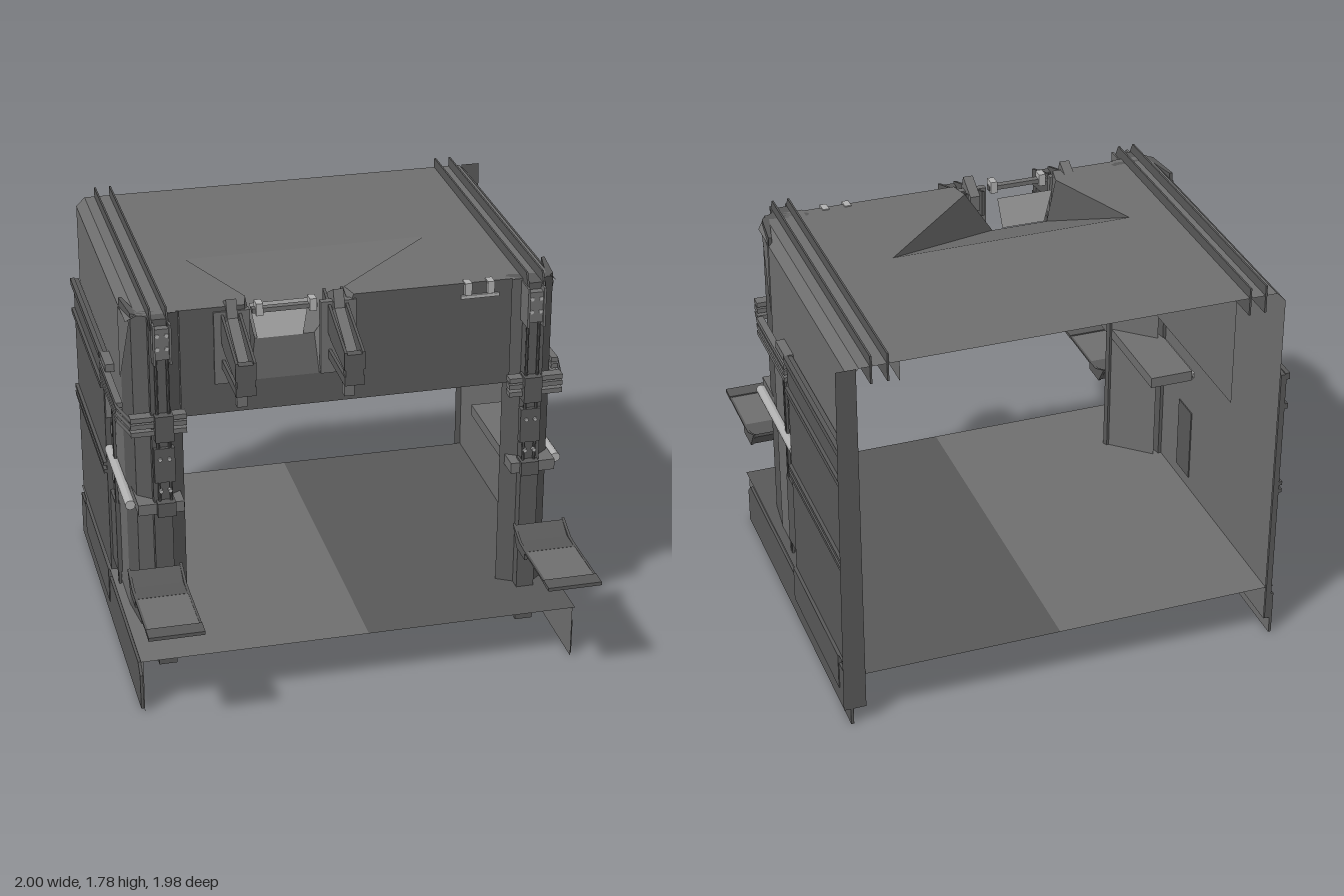
import * as THREE from 'three';

const paint = color => new THREE.MeshStandardMaterial({ color, flatShading: true, side: THREE.DoubleSide });
const mid = paint(0x6e6e6e), dark = paint(0x585858), light = paint(0xb0b0b0);

function add(parent, name, geo, mat = mid) {
  const m = new THREE.Mesh(geo, mat);
  m.name = name;
  parent.add(m);
  return m;
}

// box given by its limits on each axis
function box(parent, name, x0, x1, y0, y1, z0, z1, mat) {
  const m = add(parent, name, new THREE.BoxGeometry(Math.abs(x1 - x0), y1 - y0, Math.abs(z1 - z0)), mat);
  m.position.set((x0 + x1) / 2, (y0 + y1) / 2, (z0 + z1) / 2);
  return m;
}

// thin sheet, a fan over its corner points
function sheet(parent, name, mat, ...pts) {
  const g = new THREE.BufferGeometry().setFromPoints(pts.map(p => new THREE.Vector3(...p)));
  const idx = [];
  for (let i = 1; i < pts.length - 1; i++) idx.push(0, i, i + 1);
  g.setIndex(idx);
  const flat = g.toNonIndexed();
  flat.computeVertexNormals();
  return add(parent, name, flat, mat);
}

const shape = pts => new THREE.Shape(pts.map(p => new THREE.Vector2(...p)));

// outline in (z, y) extruded along x, centred on x
function sideProfile(parent, name, pts, x, width, mat) {
  const g = new THREE.ExtrudeGeometry(shape(pts.map(([z, y]) => [-z, y])), { depth: width, bevelEnabled: false });
  g.translate(0, 0, -width / 2).rotateY(Math.PI / 2);
  const m = add(parent, name, g, mat);
  m.position.x = x;
  return m;
}

function buildSide(s) {
  const g = new THREE.Group();
  g.name = s > 0 ? 'leftSide' : 'rightSide';
  g.position.x = -0.012;
  const b = (name, x0, x1, ...r) => box(g, name, s * x0, s * x1, ...r);

  // skirt beneath the floor with a chamfered plate outside
  sheet(g, 'skirt', mid, [s * 0.968, 0, 0.69], [s * 0.968, 0.25, 0.69], [s * 0.968, 0.25, -0.99], [s * 0.968, 0, -0.99]);
  sideProfile(g, 'skirtPlate', [[0.665, 0], [0.665, 0.165], [0.62, 0.21], [-0.99, 0.21], [-0.99, 0]], s * 0.975, 0.012, dark);
  b('panelSkirt', 0.97, 0.985, 0.08, 0.25, -0.83, -0.14, dark);

  // upper wall with chamfer to the roof, and main wall below
  sheet(g, 'roofEdge', mid, [s * 0.73, 1.74, 0.4], [s * 0.9, 1.74, 0.4], [s * 0.9, 1.74, -0.99], [s * 0.73, 1.74, -0.99]);
  sheet(g, 'roofChamfer', mid, [s * 0.9, 1.74, 0.4], [s * 0.94, 1.7, 0.36], [s * 0.94, 1.7, -0.99], [s * 0.9, 1.74, -0.99]);
  sheet(g, 'wall', mid, [s * 0.94, 1.7, 0.2], [s * 0.94, 0.08, 0.2], [s * 0.94, 0.08, -0.99], [s * 0.94, 1.7, -0.99]);
  b('outerPanel', 0.945, 0.97, 0.08, 1.34, -0.99, -0.14, dark);
  for (const [y, h] of [[0.745, 0.018], [0.782, 0.018], [1.17, 0.025], [1.315, 0.03]])
    b('wallRib', 0.965, 0.985, y, y + h, -0.99, -0.14, dark);
  b('sidePocket', 0.935, 0.96, 0.31, 0.66, -0.14, 0, dark);
  for (const z of [-0.01, -0.03]) b('wallRod', 0.945, 0.957, 0.25, 1.17, z, z + 0.01, dark);
  b('panelCap', 0.94, 0.98, 1.31, 1.345, -0.14, 0);
  sheet(g, 'wallGusset', mid, [s * 0.942, 1.09, 0], [s * 0.965, 1.15, -0.14], [s * 0.965, 1.02, -0.14]);
  b('wallPlate', 0.945, 0.96, 1.17, 1.21, 0.05, 0.15, light);

  // rails standing on the roof edge
  for (const x of [0.78, 0.85])
    sideProfile(g, 'roofRail', [[0.47, 1.7], [0.47, 1.73], [0.44, 1.785], [-0.99, 1.785], [-0.99, 1.66], [0.4, 1.66]], s * x, 0.008, dark);

  // front pillar
  const pillar = new THREE.ExtrudeGeometry(shape([[0.71, 0.36], [0.78, 0.4], [0.78, 0.455], [0.86, 0.455], [0.86, 0.42],
    [0.92, 0.37], [0.94, 0.19], [0.925, 0.19], [0.89, 0.36], [0.72, 0.34]].map(([x, z]) => [s * x, z])),
  { depth: 1.66, bevelEnabled: false });
  pillar.rotateX(Math.PI / 2).translate(0, 1.74, 0);
  add(g, 'pillar', pillar, dark);
  sheet(g, 'pillarInnerSheet', mid, [s * 0.71, 0.08, 0.36], [s * 0.71, 1.25, 0.36], [s * 0.9, 1.25, 0.19], [s * 0.9, 0.08, 0.19]);
  sheet(g, 'pillarBrace', mid, [s * 0.925, 1.7, 0.37], [s * 0.945, 1.36, 0.19], [s * 0.945, 1.7, 0.19]);

  // pillar fittings
  b('pillarCap', 0.775, 0.845, 1.57, 1.71, 0.4, 0.49);
  for (const x of [0.775, 0.845]) b('pillarEar', x - 0.005, x + 0.005, 1.55, 1.73, 0.4, 0.5);
  b('latchPlate', 0.765, 0.855, 0.99, 1.15, 0.44, 0.472, dark);
  for (const x of [0.785, 0.835]) {
    const rod = add(g, 'latchRod', new THREE.CylinderGeometry(0.007, 0.007, 0.85, 8), dark);
    rod.position.set(s * x, 1.27, 0.463);
  }
  for (const y of [0.95, 1.1, 1.62, 1.68]) for (const x of [0.79, 0.83]) {
    const bolt = add(g, 'bolt', new THREE.CylinderGeometry(0.009, 0.009, 0.02, 8), light);
    bolt.rotation.x = Math.PI / 2;
    bolt.position.set(s * x, y, y > 1.5 ? 0.485 : 0.47);
  }

  // hinge straps running round the pillar and back along the wall
  for (const y of [1.215, 1.25, 1.28]) {
    b('hingeFront', 0.71, 0.95, y, y + 0.022, 0.42, 0.47);
    sheet(g, 'hingeBend', mid, [s * 0.95, y, 0.45], [s * 0.95, y + 0.022, 0.45], [s * 0.985, y + 0.022, 0.3], [s * 0.985, y, 0.3]);
    b('hingeStrap', 0.955, 0.985, y, y + 0.022, -0.14, 0.3);
  }
  b('hingeBlock', 0.77, 0.85, 1.19, 1.31, 0.42, 0.495, dark);
  b('lowerClampBlock', 0.77, 0.85, 0.835, 0.9, 0.42, 0.495, dark);

  // broad lower arm running back inside the wall, with a bright outer tube
  b('lowerArm', 0.73, 0.93, 0.84, 0.89, -0.14, 0.47);
  const tube = add(g, 'lowerTube', new THREE.CylinderGeometry(0.022, 0.022, 0.55, 12), light);
  tube.rotation.x = Math.PI / 2;
  tube.position.set(s * 0.955, 0.865, 0.135);

  // step platform held out in front
  const step = new THREE.Group();
  step.name = 'step';
  g.add(step);
  const c = s * 0.868;
  box(step, 'stepPlate', c - 0.11, c + 0.11, 0.534, 0.539, 0.64, 0.93);
  box(step, 'stepFrontBar', c - 0.12, c + 0.12, 0.529, 0.545, 0.91, 0.985, dark);
  for (const k of [-1, 1]) box(step, 'stepRail', c + k * 0.12, c + k * 0.11, 0.532, 0.541, 0.6, 0.95, dark);
  sideProfile(step, 'stepBlock', [[0.65, 0.505], [0.65, 0.54], [0.55, 0.54], [0.48, 0.585], [0.48, 0.57], [0.53, 0.505]], c, 0.22, dark);
  for (const k of [-1, 1])
    sideProfile(step, 'stepCheek', [[0.65, 0.5], [0.65, 0.54], [0.57, 0.545], [0.47, 0.59], [0.53, 0.5]], c + k * 0.114, 0.012, dark);
  return g;
}

function buildArm(x) {
  const g = new THREE.Group();
  g.name = 'frontArm';
  for (const k of [-1, 1]) {
    sideProfile(g, 'armCheek', [[0.3, 1.74], [0.45, 1.69], [0.69, 1.61], [0.69, 1.53], [0.45, 1.56], [0.3, 1.62]], x + k * 0.038, 0.012, dark);
    sideProfile(g, 'armLowerCheek', [[0.69, 1.5], [0.69, 1.46], [0.4, 1.46], [0.39, 1.5]], x + k * 0.036, 0.014, dark);
  }
  box(g, 'armTip', x - 0.038, x + 0.038, 1.46, 1.6, 0.65, 0.69, dark);
  box(g, 'armPad', x - 0.022, x + 0.022, 1.37, 1.46, 0.56, 0.6);
  sideProfile(g, 'armCore', [[0.3, 1.72], [0.4, 1.775], [0.43, 1.7], [0.65, 1.59], [0.65, 1.55], [0.39, 1.6], [0.3, 1.65]], x, 0.045);
  box(g, 'armBase', x - 0.075, x + 0.08, 1.39, 1.72, 0.37, 0.4);
  return g;
}

export function createModel() {
  const model = new THREE.Group();
  model.name = 'openCabin';

  // floor in two halves
  sheet(model, 'floorRight', mid, [-0.99, 0.25, 0.69], [0.02, 0.25, 0.69], [0.02, 0.25, -0.99], [-0.99, 0.25, -0.99]);
  sheet(model, 'floorLeft', dark, [0.02, 0.25, 0.69], [0.968, 0.25, 0.69], [0.968, 0.25, -0.99], [0.02, 0.25, -0.99]);

  // roof with a recess cut in its front edge
  const roof = new THREE.ShapeGeometry(shape([[-0.75, -0.99], [0.73, -0.99], [0.73, 0.39], [0.02, 0.39], [0, 0.3],
    [0.48, -0.16], [-0.6, -0.15], [-0.43, 0.3], [-0.45, 0.39], [-0.75, 0.39]]));
  add(model, 'roof', roof.rotateX(Math.PI / 2)).position.y = 1.74;

  // recess sloping down to the front
  const A = [-0.6, 1.74, -0.15], B = [0.48, 1.74, -0.16], C = [-0.13, 1.54, 0.3], D = [-0.39, 1.54, 0.3];
  sheet(model, 'recessSlope', mid, A, B, C, D);
  sheet(model, 'recessRightSlope', dark, A, D, [-0.43, 1.74, 0.3]);
  sheet(model, 'recessLeftSlope', dark, B, [0, 1.74, 0.3], C);
  sheet(model, 'recessFront', dark, D, C, [-0.13, 1.39, 0.39], [-0.43, 1.39, 0.39]);
  sheet(model, 'recessCheek', mid, [-0.43, 1.74, 0.3], D, [-0.43, 1.39, 0.39], [-0.45, 1.74, 0.39]);
  sheet(model, 'recessCheek', mid, [0, 1.74, 0.3], C, [-0.13, 1.39, 0.39], [0.02, 1.74, 0.39]);
  sheet(model, 'recessPlate', light, [-0.41, 1.7, 0.29], [-0.15, 1.7, 0.29], [-0.18, 1.54, 0.305], [-0.38, 1.54, 0.305]);

  // front header under the roof
  add(model, 'header', new THREE.ShapeGeometry(shape([[-0.73, 1.25], [0.72, 1.25], [0.72, 1.74], [0.02, 1.74],
    [-0.13, 1.39], [-0.43, 1.39], [-0.45, 1.74], [-0.73, 1.74]])), dark).position.z = 0.39;
  box(model, 'headerBar', -0.42, -0.14, 1.7, 1.72, 0.37, 0.4);
  box(model, 'headerHinge', 0.49, 0.66, 1.67, 1.685, 0.37, 0.4, light);
  for (const x of [-0.39, -0.16, 0.52, 0.62]) box(model, 'headerClip', x - 0.015, x + 0.015, 1.69, 1.745, 0.36, 0.41, light);
  for (const x of [-0.51, -0.05]) model.add(buildArm(x));

  // inner sheet hanging from the roof on the right, short lip on the left
  sheet(model, 'innerSheet', mid, [-0.73, 1.74, 0.39], [-0.73, 1.25, 0.39], [-0.73, 1.25, -0.99], [-0.73, 1.74, -0.99]);
  sheet(model, 'innerLip', mid, [0.72, 1.74, 0.39], [0.72, 1.65, 0.39], [0.72, 1.65, -0.99], [0.72, 1.74, -0.99]);

  // upright strip closing the rear left corner
  sheet(model, 'rearStrip', dark, [0.9, 1.74, -0.99], [0.985, 1.74, -0.99], [1, 0.08, -0.99], [0.9, 0.08, -0.99]);

  model.add(buildSide(1), buildSide(-1));
  return model;
}
